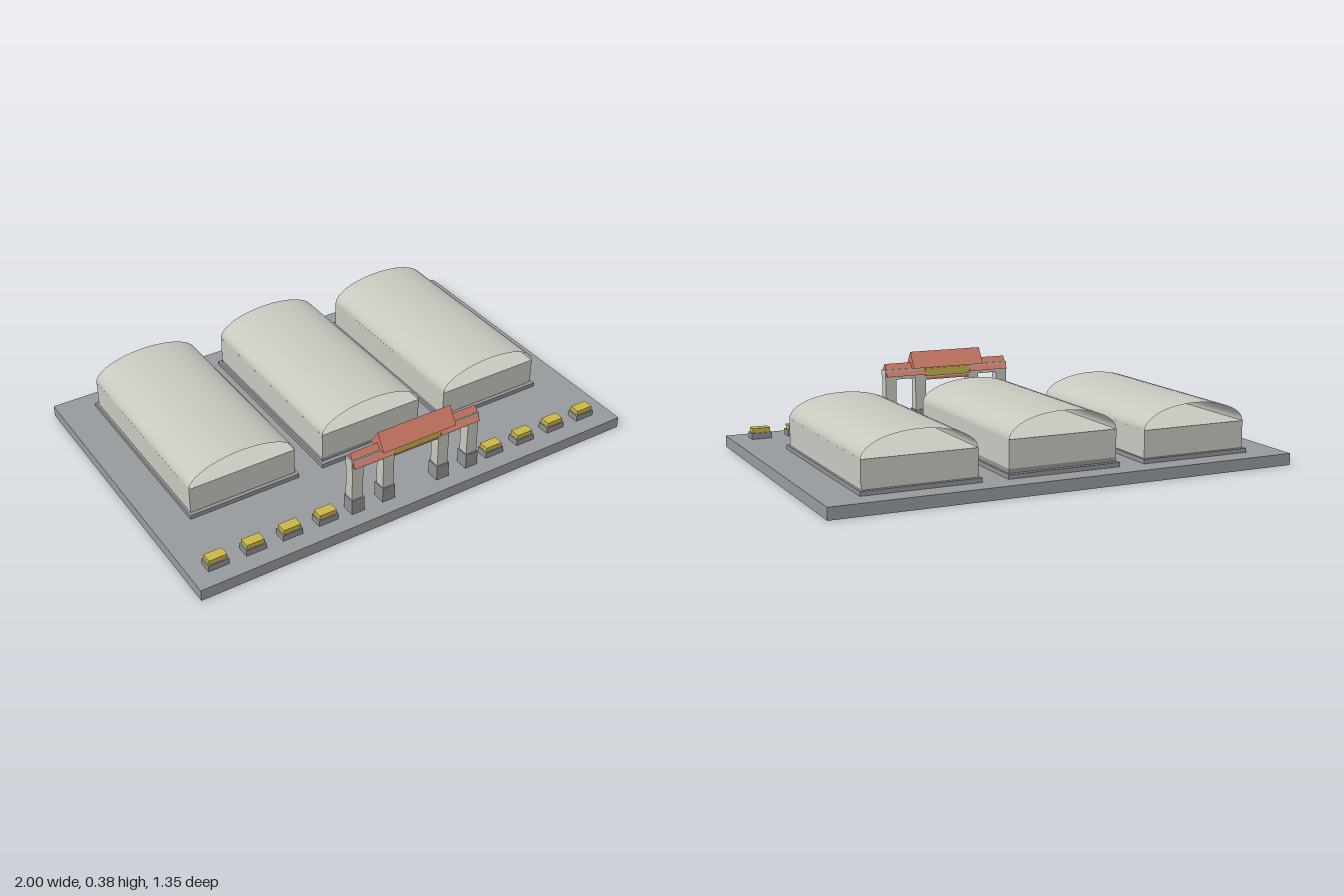
import * as THREE from 'three';

const mat = (name, color, extra = {}) => new THREE.MeshStandardMaterial({ name, color, ...extra });

export function createModel() {
  const model = new THREE.Group();
  const paving = mat('paving grey', 0x969a9d);
  const stone = mat('stone grey', 0x8f9194);
  const wall = mat('pale wall', 0xc6c8bf);
  const shell = mat('pale roof shell', 0xc6c8bf, { side: THREE.DoubleSide });
  const tile = mat('terracotta tile', 0xcd7a66);
  const gold = mat('gold', 0xc9b548);

  const add = (parent, name, geo, m, x = 0, y = 0, z = 0) => {
    const mesh = new THREE.Mesh(geo, m);
    mesh.name = name;
    mesh.position.set(x, y, z);
    parent.add(mesh);
    return mesh;
  };
  // Box placed by its bottom and top heights
  const box = (parent, name, m, w, d, y0, y1, x = 0, z = 0) =>
    add(parent, name, new THREE.BoxGeometry(w, y1 - y0, d), m, x, (y0 + y1) / 2, z);

  box(model, 'baseSlab', paving, 2, 1.354, 0, 0.049);

  // Open half-elliptic vault, extruded along z
  const vault = (hw, rise, length, n = 24) => {
    const g = new THREE.CylinderGeometry(1, 1, length, n, 1, true, -Math.PI / 2, Math.PI);
    g.rotateX(-Math.PI / 2);
    g.scale(hw, rise, 1);
    return g;
  };

  // Three halls, the middle one slightly raised
  [[-0.602, 0], [-0.002, 0.018], [0.597, 0]].forEach(([x, lift]) => {
    const hall = new THREE.Group();
    hall.name = 'hall';
    hall.position.set(x, 0, -0.14);
    box(hall, 'plinth', stone, 0.49, 0.884, 0.049, 0.067);
    if (lift) box(hall, 'step', stone, 0.47, 0.845, 0.067, 0.067 + lift);
    box(hall, 'walls', wall, 0.47, 0.85, 0.067 + lift, 0.181 + lift);
    add(hall, 'vaultedRoof', vault(0.235, 0.095, 0.85), shell, 0, 0.18 + lift, 0);
    model.add(hall);
  });

  // Triangular roof prism with its ridge along x
  const prism = (length, halfDepth, height) => {
    const s = new THREE.Shape();
    s.moveTo(-halfDepth, 0);
    s.lineTo(halfDepth, 0);
    s.lineTo(0, height);
    s.closePath();
    const g = new THREE.ExtrudeGeometry(s, { depth: length, bevelEnabled: false });
    g.translate(0, 0, -length / 2);
    g.rotateY(Math.PI / 2);
    return g;
  };

  // Gate
  const gate = new THREE.Group();
  gate.name = 'gate';
  gate.position.set(-0.002, 0, 0.582);
  for (const s of [-1, 1]) {
    for (const [x, top] of [[0.273, 0.3], [0.13, 0.265]]) {
      box(gate, 'pillarBase', stone, 0.058, 0.058, 0.049, 0.115, s * x);
      box(gate, 'pillar', wall, 0.05, 0.046, 0.115, top, s * x);
    }
    add(gate, 'sideRoof', prism(0.185, 0.038, 0.055), tile, s * 0.2025, 0.275);
  }
  box(gate, 'crossBeam', wall, 0.6, 0.046, 0.26, 0.305);
  box(gate, 'lowerBeam', tile, 0.25, 0.036, 0.248, 0.26);
  for (const s of [-1, 1]) {
    box(gate, 'signPanel', gold, 0.22, 0.008, 0.266, 0.302, 0, s * 0.026);
  }
  add(gate, 'mainRoof', prism(0.34, 0.046, 0.07), tile, 0, 0.307);
  model.add(gate);

  // Row of planters on both sides of the gate
  for (const start of [-0.884, 0.395]) {
    for (let i = 0; i < 4; i++) {
      const x = start + i * 0.16;
      box(model, 'planter', stone, 0.088, 0.054, 0.049, 0.075, x, 0.576);
      box(model, 'planterTop', gold, 0.076, 0.044, 0.075, 0.095, x, 0.576);
    }
  }
  return model;
}
